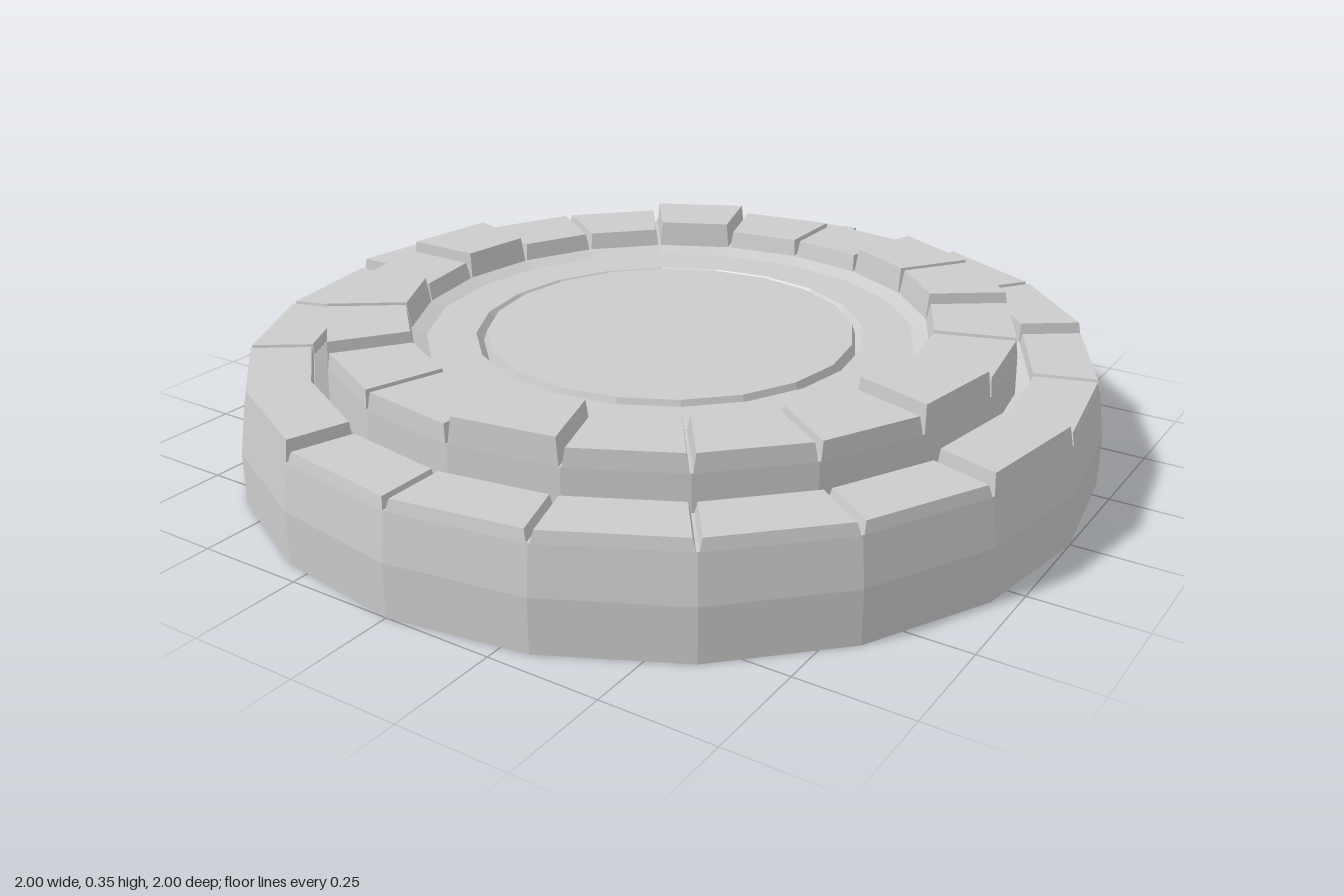
import * as THREE from 'three';

const SIDES = 20;
const STEP = (Math.PI * 2) / SIDES;

// One stone: a wedge between two joints, its flanks leaning in towards the top
function stoneGeometry(k, { rIn, rOut, rInTop, rOutTop, base }, top) {
  const corner = (r, end, y, inset) => {
    const a = (k + end) * STEP;
    const s = end ? -inset : inset; // shift away from the joint
    return [r * Math.sin(a) + s * Math.cos(a), y, r * Math.cos(a) - s * Math.sin(a)];
  };
  const ring = (ri, ro, y, inset) => [
    corner(ri, 0, y, inset), corner(ro, 0, y, inset),
    corner(ro, 1, y, inset), corner(ri, 1, y, inset),
  ];
  const pts = [...ring(rIn, rOut, base, 0.003), ...ring(rInTop, rOutTop, top, 0.009)];
  const index = [4, 5, 6, 4, 6, 7, 0, 2, 1, 0, 3, 2];
  for (let i = 0; i < 4; i++) {
    const j = (i + 1) % 4;
    index.push(i, j, j + 4, i, j + 4, i + 4);
  }
  const geo = new THREE.BufferGeometry();
  geo.setAttribute('position', new THREE.Float32BufferAttribute(pts.flat(), 3));
  geo.setIndex(index);
  const flat = geo.toNonIndexed();
  flat.computeVertexNormals();
  return flat;
}

export function createModel() {
  const model = new THREE.Group();
  model.name = 'stonePlatform';
  const stone = new THREE.MeshStandardMaterial({ color: 0xcccccc, flatShading: true });

  // Stepped base: outer wall, ledge, channel, upper ledge, floor, groove and centre disc
  const profile = [
    [0, 0], [1, 0], [1, 0.12], [0.985, 0.225],
    [0.835, 0.225], [0.802, 0.2], [0.8, 0.29],
    [0.61, 0.29], [0.57, 0.275], [0.455, 0.275],
    [0.438, 0.255], [0.43, 0.28], [0, 0.28],
  ].map(([r, y]) => new THREE.Vector2(r, y));
  const baseGeo = new THREE.LatheGeometry(profile, SIDES).toNonIndexed();
  baseGeo.computeVertexNormals();
  const base = new THREE.Mesh(baseGeo, stone);
  base.name = 'base';
  model.add(base);

  // Two rings of stones, some standing proud of the rest
  const rings = [
    {
      name: 'outerStones', low: 0.25, high: 0.27, raised: [4, 7, 8, 10, 14, 18],
      shape: { rIn: 0.835, rOut: 0.985, rInTop: 0.838, rOutTop: 0.978, base: 0.224 },
    },
    {
      name: 'innerStones', low: 0.33, high: 0.35, raised: [0, 4, 7, 8, 11, 14, 16, 17],
      shape: { rIn: 0.605, rOut: 0.8, rInTop: 0.613, rOutTop: 0.795, base: 0.289 },
    },
  ];
  for (const { name, low, high, raised, shape } of rings) {
    const group = new THREE.Group();
    group.name = name;
    for (let k = 0; k < SIDES; k++) {
      const top = raised.includes(k) ? high : low;
      const mesh = new THREE.Mesh(stoneGeometry(k, shape, top), stone);
      mesh.name = 'stone';
      group.add(mesh);
    }
    model.add(group);
  }
  return model;
}
